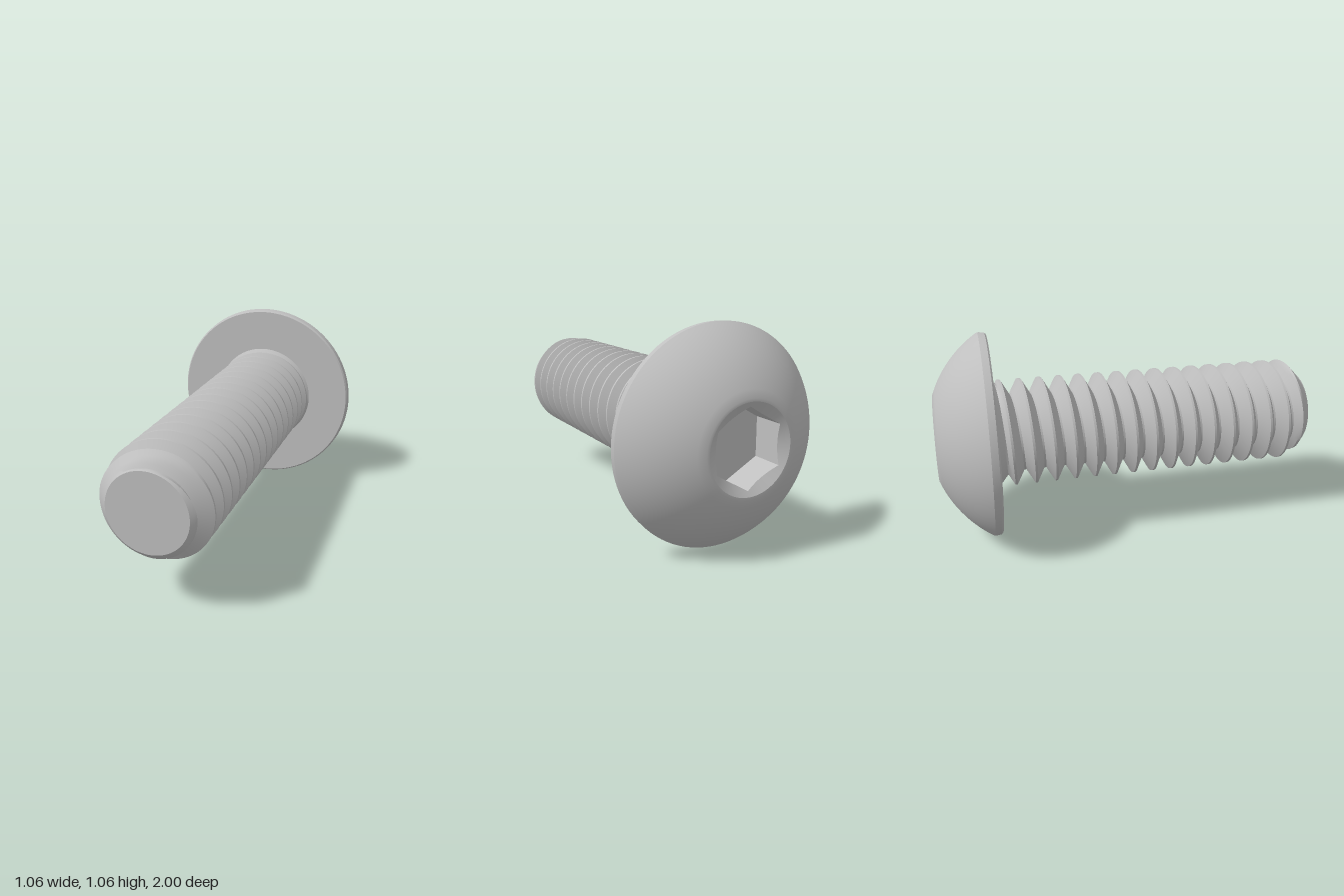
import * as THREE from 'three';
import { toCreasedNormals } from 'three/addons/utils/BufferGeometryUtils.js';

const TAU = Math.PI * 2;
const HEAD_BASE = -0.707, TIP = 1;

// Surface around the z axis: at(row, theta) returns [radius, z]
function loft(rows, cols, at, crease) {
  const pos = [], index = [];
  for (let i = 0; i < rows; i++) {
    for (let j = 0; j <= cols; j++) {
      const t = (j / cols) * TAU;
      const [r, z] = at(i, t);
      pos.push(r * Math.cos(t), r * Math.sin(t), z);
      if (i < rows - 1 && j < cols) {
        const a = i * (cols + 1) + j, b = a + cols + 1;
        index.push(a, a + 1, b, a + 1, b + 1, b);
      }
    }
  }
  const g = new THREE.BufferGeometry();
  g.setAttribute('position', new THREE.Float32BufferAttribute(pos, 3));
  g.setIndex(index);
  return toCreasedNormals(g, crease);
}

// Right-hand helical thread with a chamfered tip and a flared neck
function threadGeometry() {
  const pitch = 0.106, crest = 0.28, root = 0.205, half = 0.006, flank = 0.042;
  const profile = [[-half, crest], [half, crest]];
  const steps = 4;
  for (let s = 1; s <= steps; s++) {
    profile.push([half + flank * s / steps, crest + (root - crest) * s / steps]);
  }
  for (let s = 0; s < steps; s++) {
    profile.push([pitch - half - flank * (1 - s / steps), root + (crest - root) * s / steps]);
  }
  const n = profile.length, turns = 20;
  return loft(n * turns + 1, 72, (i, t) => {
    const [dz, r0] = profile[i % n];
    const turn = Math.floor(i / n) - 17;
    const raw = 0.827 + dz + pitch * (turn + (t - Math.PI / 2) / TAU);
    const z = THREE.MathUtils.clamp(raw, HEAD_BASE, TIP);
    const neck = 0.2 + 0.09 * (-0.63 - z) / 0.077;
    const chamfer = 0.2 + (TIP - z);
    return [Math.min(Math.max(r0, neck), chamfer, 0.29), z];
  }, 0.5);
}

// Domed head with a thin rim and a flat underside
function headGeometry() {
  const pts = [new THREE.Vector2(0.212, -1)];
  const c = -0.414, R = 0.628;
  for (let i = 0; i <= 16; i++) {
    const z = -1 + 0.25 * i / 16;
    pts.push(new THREE.Vector2(Math.sqrt(R * R - (z - c) ** 2), z));
  }
  pts.push(
    new THREE.Vector2(0.53, -0.738),
    new THREE.Vector2(0.528, -0.715),
    new THREE.Vector2(0.52, HEAD_BASE),
    new THREE.Vector2(0.2, HEAD_BASE)
  );
  const g = new THREE.LatheGeometry(pts, 96);
  g.rotateX(Math.PI / 2);
  return toCreasedNormals(g, 0.5);
}

// Hexagonal recess with a conical lead-in
function socketGeometry() {
  const apothem = 0.163, mouth = 0.212, floor = -0.82;
  const hex = (t) => {
    const a = (t + Math.PI / 6) % (Math.PI / 3) - Math.PI / 6;
    return apothem / Math.cos(a);
  };
  return loft(4, 96, (i, t) => {
    const h = hex(t + 1e-9);
    return [[0, floor], [h, floor], [h, -1 + (mouth - h) * 0.6], [mouth, -1]][i];
  }, 0.5);
}

export function createModel() {
  const steel = new THREE.MeshStandardMaterial({ color: 0xbfbfbf });
  steel.name = 'steel grey';

  const screw = new THREE.Group();
  screw.name = 'screw';
  const add = (name, geometry) => {
    const mesh = new THREE.Mesh(geometry, steel);
    mesh.name = name;
    screw.add(mesh);
    return mesh;
  };

  add('head', headGeometry());
  add('hexSocket', socketGeometry());
  add('threadedShank', threadGeometry());
  add('tipFace', new THREE.CircleGeometry(0.2, 72)).position.z = TIP;

  screw.position.y = 0.53;
  const model = new THREE.Group();
  model.name = 'buttonHeadScrew';
  model.add(screw);
  return model;
}
